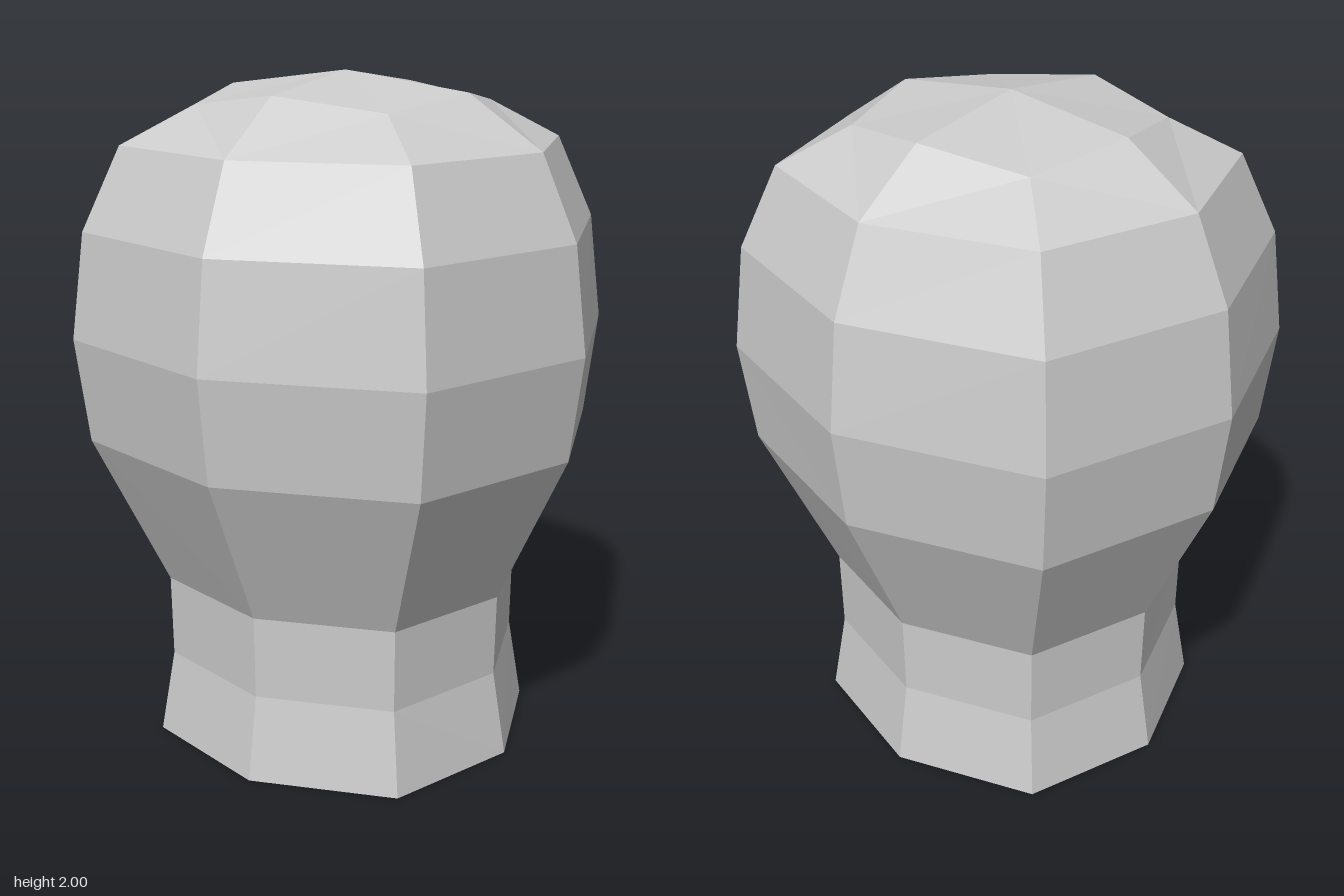
import * as THREE from 'three';

// Rings from neck to crown: [side radius, height, height at the diagonal corners, diagonal x]
const RINGS = [
  [0.56, 0, 0, 0.42],
  [0.517, 0.25, 0.25, 0.389],
  [0.522, 0.495, 0.495, 0.392],
  [0.73, 0.945, 0.945, 0.549],
  [0.768, 1.25, 1.25, 0.577],
  [0.73, 1.56, 1.56, 0.549],
  [0.622, 1.8, 1.8, 0.468],
  [0.394, 1.95, 1.91, 0.313],
];
const DEPTH = 0.965; // slightly narrower front to back
const APEX = [0, 2, 0];

// Eight points, starting at the front and turning towards +x
function ringPoints([radius, y, cornerY, corner]) {
  return Array.from({ length: 8 }, (_, i) => {
    const a = (i * Math.PI) / 4;
    const isCorner = i % 2 === 1;
    const r = isCorner ? corner * Math.SQRT2 : radius;
    return [Math.sin(a) * r, isCorner ? cornerY : y, Math.cos(a) * r * DEPTH];
  });
}

function faceted(triangles) {
  const geometry = new THREE.BufferGeometry();
  geometry.setAttribute('position', new THREE.Float32BufferAttribute(triangles.flat(2), 3));
  geometry.computeVertexNormals();
  return geometry;
}

// Walls between successive rings, each quad split from its lower side point
function loft(rings) {
  const triangles = [];
  for (let k = 0; k < rings.length - 1; k++) {
    for (let i = 0; i < 8; i++) {
      const j = (i + 1) % 8;
      const a = rings[k][i], b = rings[k][j], c = rings[k + 1][i], d = rings[k + 1][j];
      if (i % 2 === 0) triangles.push([a, b, d], [a, d, c]);
      else triangles.push([a, b, c], [b, d, c]);
    }
  }
  return triangles;
}

export function createModel() {
  const group = new THREE.Group();
  group.name = 'headBase';
  const grey = new THREE.MeshStandardMaterial({ color: 0xcccccc, side: THREE.DoubleSide });
  grey.name = 'lightGrey';

  const rings = RINGS.map(ringPoints);
  const top = rings[7];
  const crownFan = top.map((p, i) => [p, top[(i + 1) % 8], APEX]);

  const parts = {
    neck: loft(rings.slice(0, 3)), // open at the bottom
    head: loft(rings.slice(2, 7)),
    crown: [...loft(rings.slice(6)), ...crownFan],
  };
  for (const [name, triangles] of Object.entries(parts)) {
    const mesh = new THREE.Mesh(faceted(triangles), grey);
    mesh.name = name;
    group.add(mesh);
  }
  return group;
}
